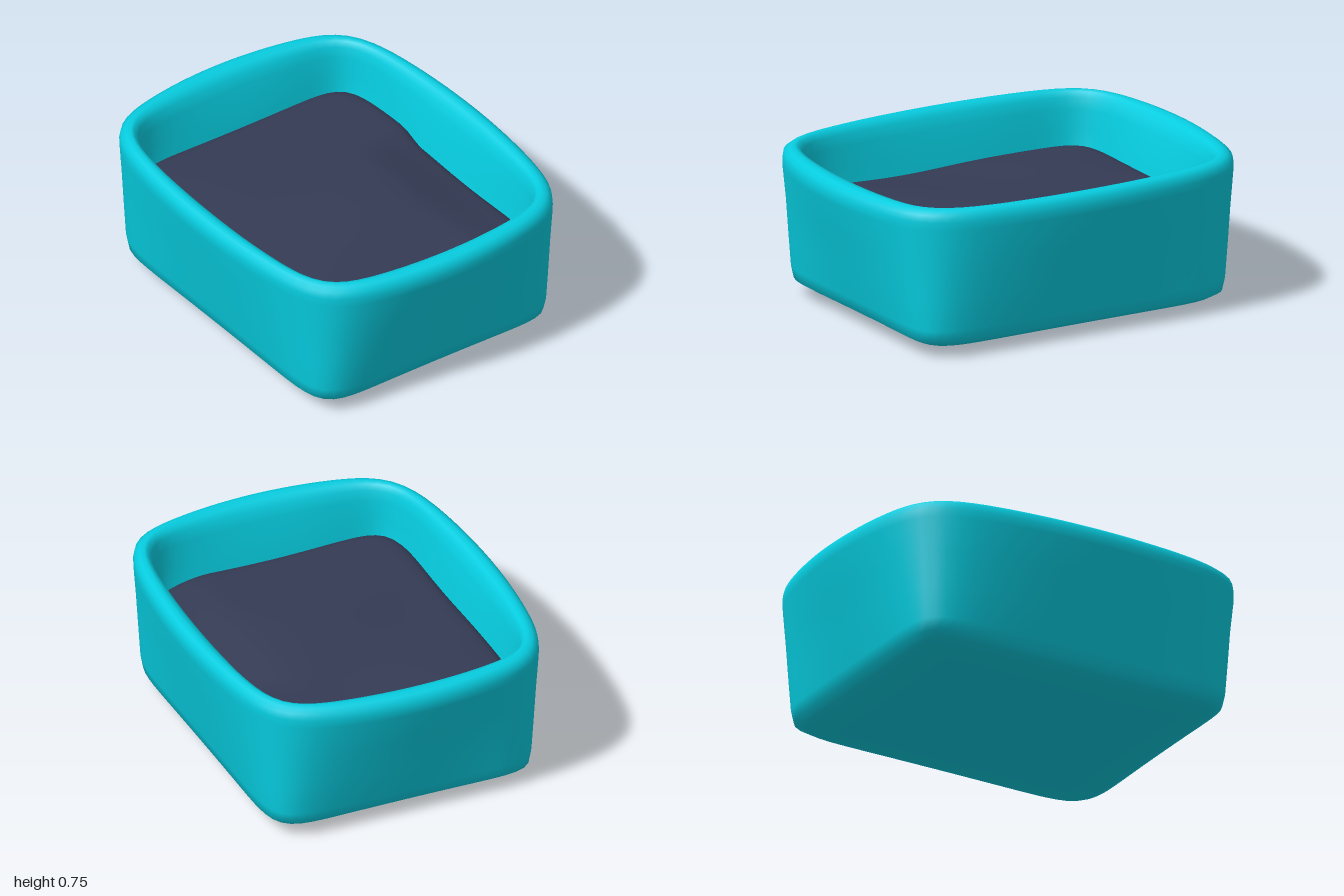
import * as THREE from 'three';

const SEGMENTS = 128;

// Skins a stack of bow-sided rectangular rings:
// [halfX, halfZ, cornerX, cornerZ, y], with an optional lift in height.
function loft(rings, lift = () => 0) {
  const n = 9, k = Math.pow(2, -1 / n);
  const pos = [], index = [];
  rings.forEach(([rx, rz, cx, cz, y]) => {
    const bowX = (rx - cx / k) / (k * k), bowZ = (rz - cz / k) / (k * k);
    for (let j = 0; j < SEGMENTS; j++) {
      const t = (j / SEGMENTS) * Math.PI * 2;
      const c = Math.cos(t), s = Math.sin(t);
      const r = Math.pow(Math.abs(c) ** n + Math.abs(s) ** n, -1 / n);
      const u = r * c, v = r * s;
      const x = u * (rx - bowX * v * v), z = v * (rz - bowZ * u * u);
      pos.push(x, y + lift(x, z), z);
    }
  });
  for (let i = 0; i < rings.length - 1; i++) {
    for (let j = 0; j < SEGMENTS; j++) {
      const a = i * SEGMENTS + j, b = a + SEGMENTS;
      const c = i * SEGMENTS + (j + 1) % SEGMENTS, d = c + SEGMENTS;
      index.push(a, b, c, c, b, d);
    }
  }
  const g = new THREE.BufferGeometry();
  g.setAttribute('position', new THREE.Float32BufferAttribute(pos, 3));
  g.setIndex(index);
  g.computeVertexNormals();
  return g;
}

export function createModel() {
  const teal = new THREE.MeshStandardMaterial({ color: 0x06cde0 });
  teal.name = 'teal plastic';
  const slate = new THREE.MeshStandardMaterial({ color: 0x343b54 });
  slate.name = 'slate filling';

  const model = new THREE.Group();
  model.name = 'filledTray';

  // Tray: bulging base, wall with upright corners and sides that bow outward
  // towards the rim, then the rounded rim, inner wall and floor
  const tray = new THREE.Mesh(loft([
    [0.001, 0.001, 0.0009, 0.0009, 0],
    [0.3, 0.25, 0.28, 0.23, 0.012],
    [0.6, 0.49, 0.56, 0.455, 0.022],
    [0.74, 0.6, 0.69, 0.56, 0.037],
    [0.8, 0.65, 0.75, 0.608, 0.053],
    [0.843, 0.687, 0.79, 0.642, 0.08],
    [0.862, 0.702, 0.8, 0.65, 0.14],
    [0.902, 0.734, 0.808, 0.656, 0.3],
    [0.95, 0.772, 0.815, 0.663, 0.48],
    [0.998, 0.807, 0.823, 0.671, 0.65],
    [1.0, 0.81, 0.824, 0.672, 0.69],
    [0.993, 0.804, 0.82, 0.668, 0.725],
    [0.97, 0.785, 0.802, 0.652, 0.743],
    [0.94, 0.76, 0.782, 0.634, 0.75],
    [0.905, 0.732, 0.768, 0.622, 0.742],
    [0.875, 0.707, 0.757, 0.612, 0.715],
    [0.855, 0.692, 0.752, 0.608, 0.66],
    [0.828, 0.671, 0.748, 0.604, 0.56],
    [0.806, 0.656, 0.744, 0.6, 0.47],
    [0.77, 0.625, 0.72, 0.58, 0.28],
    [0.72, 0.58, 0.67, 0.54, 0.14],
    [0.001, 0.001, 0.0009, 0.0009, 0.12],
  ]), teal);
  tray.name = 'tray';
  model.add(tray);

  // Filling: gently uneven surface that rolls down at its edge
  const mound = [
    [0.775, 0.632, 0.725, 0.585, 0.3],
    [0.8, 0.65, 0.742, 0.598, 0.43],
    [0.804, 0.654, 0.743, 0.599, 0.468],
    [0.786, 0.638, 0.728, 0.585, 0.486],
  ];
  for (let i = 14; i >= 0; i--) {
    const f = Math.max(i / 15, 0.001);
    mound.push([0.8 * f, 0.65 * f, 0.742 * f, 0.598 * f, 0.51 - 0.018 * f * f]);
  }
  // Soft ripples, with a sag along the back
  const { smoothstep } = THREE.MathUtils;
  const uneven = (x, z) =>
    0.007 * Math.sin(4.1 * x + 1.3) * Math.cos(4.7 * z + 0.6) +
    0.004 * Math.sin(7.3 * x - 5.2 * z) -
    0.042 * smoothstep(x, -0.38, -0.2) * smoothstep(-z, 0.3, 0.62);
  const filling = new THREE.Mesh(loft(mound, uneven), slate);
  filling.name = 'filling';
  model.add(filling);

  return model;
}
